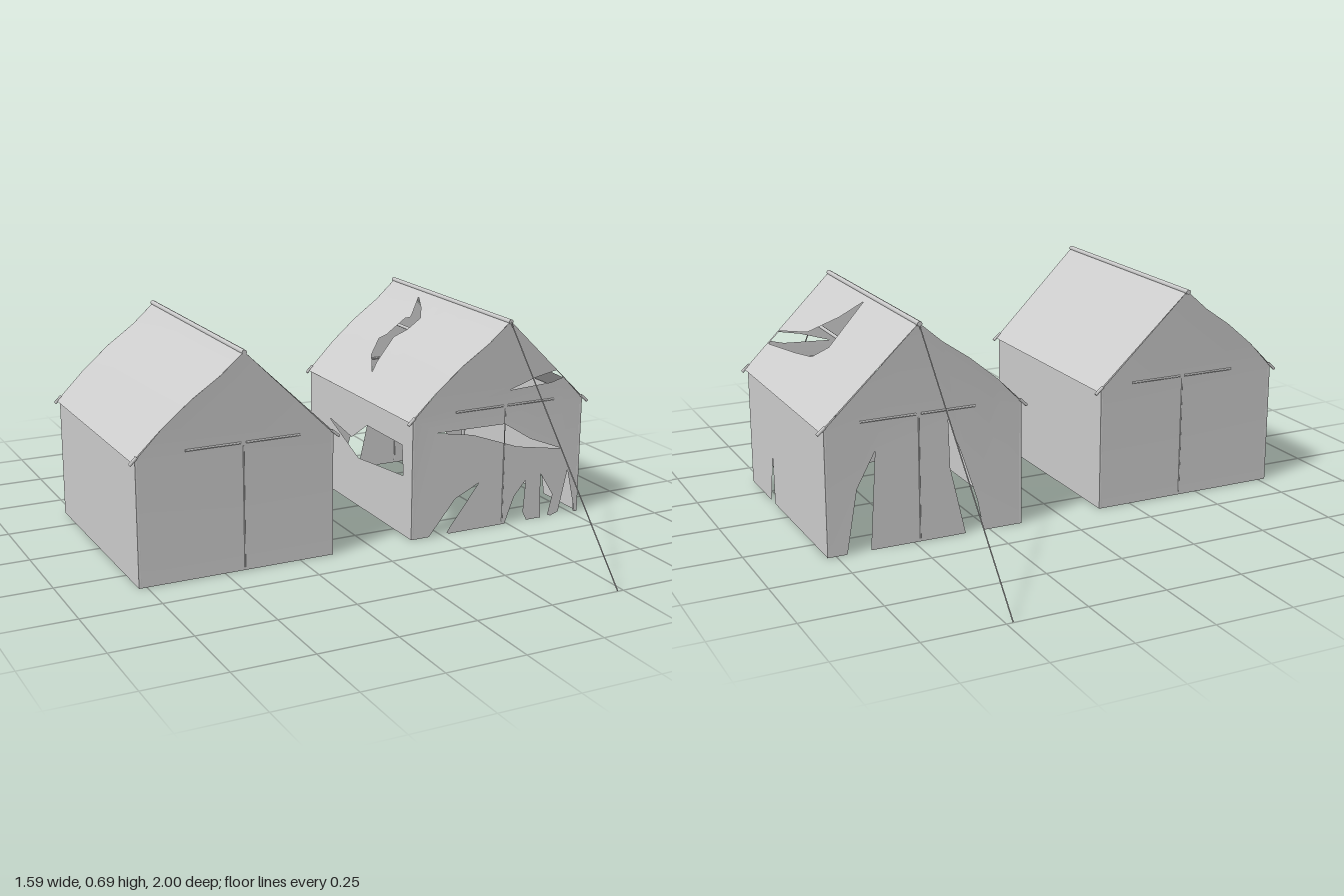
import * as THREE from 'three';
import { toCreasedNormals } from 'three/addons/utils/BufferGeometryUtils.js';

const clothMat = new THREE.MeshStandardMaterial({ color: 0xcccccc, side: THREE.DoubleSide });
const poleMat = new THREE.MeshStandardMaterial({ color: 0xcccccc });

// Tent section, measured from the ridge line
const LEFT = -0.34, RIGHT = 0.297, EAVE = 0.395, RIDGE = 0.685, HALF = 0.368;
const roofProfile = [[-0.35, 0.39], [-0.255, 0.483], [-0.165, 0.558], [-0.075, 0.62], [0, RIDGE], [0.308, 0.39]];

function roofHeight(x) {
  let i = 1;
  while (i < roofProfile.length - 1 && x > roofProfile[i][0]) i++;
  const [x0, y0] = roofProfile[i - 1], [x1, y1] = roofProfile[i];
  return y0 + (y1 - y0) * (x - x0) / (x1 - x0);
}

// Cuts flat triangles along the line p[axis] = c so the cloth can fold there
function slice(tris, axis, c) {
  const out = [];
  for (const tri of tris) {
    for (const s of [1, -1]) {
      const poly = [];
      tri.forEach((p, i) => {
        const q = tri[(i + 1) % 3], dp = s * (p[axis] - c), dq = s * (q[axis] - c);
        if (dp >= 0) poly.push(p);
        if (dp * dq < 0) {
          const t = dp / (dp - dq);
          poly.push([p[0] + (q[0] - p[0]) * t, p[1] + (q[1] - p[1]) * t]);
        }
      });
      for (let i = 1; i + 1 < poly.length; i++) {
        const [a, b, d] = [poly[0], poly[i], poly[i + 1]];
        const area = (b[0] - a[0]) * (d[1] - a[1]) - (b[1] - a[1]) * (d[0] - a[0]);
        if (Math.abs(area) > 1e-9) out.push([a, b, d]);
      }
    }
  }
  return out;
}

// Cloth sheet: a flat outline with torn holes, cut at folds and placed by a rule
function cloth(name, outline, holes, folds, place) {
  const vec = pts => pts.map(p => new THREE.Vector2(...p));
  const shape = new THREE.Shape(vec(outline));
  shape.holes = holes.map(h => new THREE.Path(vec(h)));
  const flat = new THREE.ShapeGeometry(shape).toNonIndexed().attributes.position;
  let tris = [];
  for (let i = 0; i < flat.count; i += 3)
    tris.push([0, 1, 2].map(k => [flat.getX(i + k), flat.getY(i + k)]));
  for (const [axis, c] of folds) tris = slice(tris, axis, c);
  const geo = new THREE.BufferGeometry();
  geo.setAttribute('position', new THREE.Float32BufferAttribute(tris.flat().flatMap(p => place(...p)), 3));
  const mesh = new THREE.Mesh(toCreasedNormals(geo, 0.5), clothMat);
  mesh.name = name;
  return mesh;
}

// Straight round pole or rope between two points
function pole(name, a, b, radius, sides = 6) {
  const from = new THREE.Vector3(...a), to = new THREE.Vector3(...b);
  const dir = to.clone().sub(from);
  const mesh = new THREE.Mesh(new THREE.CylinderGeometry(radius, radius, dir.length(), sides), poleMat);
  mesh.position.copy(from).add(to).multiplyScalar(0.5);
  mesh.quaternion.setFromUnitVectors(new THREE.Vector3(0, 1, 0), dir.normalize());
  mesh.name = name;
  return mesh;
}

// Tears of the damaged tent; "hem" lists are notches running along a bottom edge
const torn = {
  frontHem: [[-0.275, 0], [-0.18, 0.115], [-0.092, 0.157], [-0.21, 0.005], [-0.2, 0],
    [0.01, 0], [0.045, 0.09], [0.088, 0.14], [0.08, 0.03], [0.095, 0],
    [0.15, 0], [0.145, 0.155], [0.195, 0.075], [0.178, 0.005], [0.19, 0],
    [0.22, 0.01], [0.252, 0.152], [0.287, 0]],
  frontHoles: [
    [[-0.25, 0.345], [0, 0.343], [0.1, 0.28], [0.225, 0.23], [0.05, 0.26], [-0.12, 0.322]],
    [[0.01, 0.455], [0.11, 0.487], [0.19, 0.503], [0.215, 0.475], [0.17, 0.463]]],
  backHem: [[-0.21, 0], [-0.19, 0.1], [-0.145, 0.24], [-0.095, 0.375], [-0.1, 0.22], [-0.15, 0],
    [0.16, 0], [0.14, 0.31], [0.2, 0.2], [0.235, 0]],
  backHoles: [],
  rightHem: [[0.13, 0], [0.135, 0.155], [0.17, 0]],
  leftHoles: [[[-0.22, 0.255], [-0.05, 0.23], [0.06, 0.3], [0.3, 0.3], [0.31, 0.2], [0.15, 0.185], [0, 0.17]]],
  roofHoles: [
    [[0.02, 0.01], [0.15, -0.02], [0.19, 0.03], [0.205, 0.15], [0.225, 0.358], [0.185, 0.358], [0.15, 0.18], [0.08, 0.07]],
    [[-0.28, -0.02], [-0.24, -0.1], [-0.19, -0.14], [-0.17, -0.12], [-0.1, -0.12], [-0.09, -0.1],
      [-0.025, -0.158], [-0.05, -0.1], [-0.08, -0.05], [-0.13, -0.05], [-0.17, -0.075], [-0.25, -0.04]]],
};
const whole = { frontHem: [], frontHoles: [], backHem: [], backHoles: [], rightHem: [], leftHoles: [], roofHoles: [] };

function tent(name, x, t) {
  const g = new THREE.Group();
  g.name = name;
  g.position.x = x;

  // End walls: gables lean outward a little above the eaves
  const gableTop = [[RIGHT, 0], [RIGHT, EAVE], [0, RIDGE], ...[...roofProfile].slice(1, 4).reverse(), [LEFT, EAVE]];
  for (const [wall, s, hem, holes] of [['frontWall', 1, t.frontHem, t.frontHoles], ['backWall', -1, t.backHem, t.backHoles]])
    g.add(cloth(wall, [[LEFT, 0], ...hem, ...gableTop], holes, [[1, EAVE]],
      (a, b) => [a, b, s * (HALF + 0.015 * Math.max(0, (b - EAVE) / (RIDGE - EAVE)))]));

  // Side walls, drawn in z and y
  for (const [wall, px, hem, holes] of [['rightWall', RIGHT, t.rightHem, []], ['leftWall', LEFT, [], t.leftHoles]])
    g.add(cloth(wall, [[-HALF, 0], ...hem, [HALF, 0], [HALF, EAVE], [-HALF, EAVE]], holes, [], (a, b) => [px, b, a]));

  // Roof, drawn in x and z and folded along its profile; the ends follow the gables
  const x0 = roofProfile[0][0], x1 = roofProfile[5][0];
  g.add(cloth('roof', [[x0, -HALF], [x1, -HALF], [x1, HALF], [x0, HALF]], t.roofHoles,
    roofProfile.slice(1, 5).map(p => [0, p[0]]), (a, b) => {
      const y = roofHeight(a);
      return [a, y, b * (1 + 0.04 * Math.max(0, (y - EAVE) / (RIDGE - EAVE)))];
    }));

  // Frame: ridge pole, purlins, corner posts and gable rafters
  g.add(pole('ridgePole', [0, 0.683, -0.39], [0, 0.683, 0.385], 0.008, 8));
  for (const px of [-0.11, 0.11])
    g.add(pole('purlin', [px, roofHeight(px) - 0.02, -HALF], [px, roofHeight(px) - 0.02, HALF], 0.006));
  for (const s of [-1, 1]) {
    const z = s * HALF;
    for (const [px, tip] of [[LEFT + 0.006, -0.357], [RIGHT - 0.006, 0.317]]) {
      g.add(pole('cornerPost', [px, 0, z - s * 0.005], [px, EAVE, z - s * 0.005], 0.006));
      g.add(pole('eaveTie', [px, EAVE + 0.01, z], [tip, 0.383, z], 0.005));
    }
    // Door slit and the seam above it
    g.add(pole('doorSeam', [0, 0.01, z], [0, EAVE, z], 0.002, 4));
    for (const side of [-1, 1])
      g.add(pole('gableSeam', [side * 0.008, 0.405, z], [side * 0.185, 0.405, z], 0.004, 4));
  }
  return g;
}

export function createModel() {
  const model = new THREE.Group();
  model.name = 'tents';
  model.add(tent('wholeTent', -0.435, whole));
  const damaged = tent('tornTent', 0.48, torn);
  // Guy ropes from the ridge ends to the ground
  for (const s of [-1, 1])
    damaged.add(pole('guyRope', [0, 0.685, s * 0.38], [0, 0.001, s * 0.999], 0.002, 5));
  model.add(damaged);
  return model;
}
